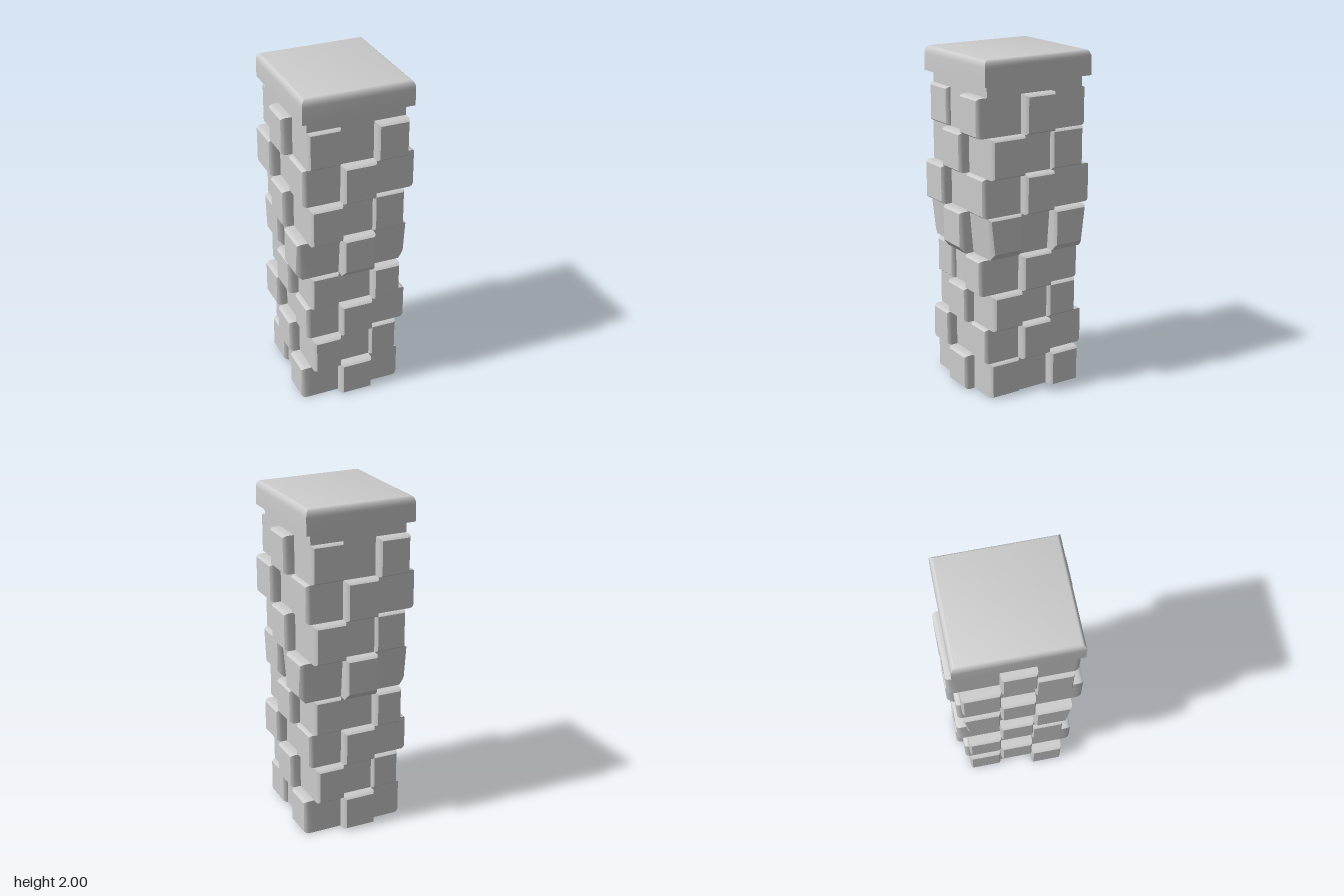
import * as THREE from 'three';
import { toCreasedNormals } from 'three/addons/utils/BufferGeometryUtils.js';

// The masonry is an open shell, so its inside shows from below.
const material = new THREE.MeshStandardMaterial({ color: 0xcccccc, side: THREE.DoubleSide });

// Join four-cornered rings (counter-clockwise seen from the last ring's side).
function loft(rings, capStart, capEnd) {
  const pos = [];
  const quad = (a, b, c, d) => [a, b, c, a, c, d].forEach((p) => pos.push(...p));
  for (let r = 0; r < rings.length - 1; r++) {
    for (let i = 0; i < 4; i++) {
      const j = (i + 1) % 4;
      quad(rings[r][i], rings[r][j], rings[r + 1][j], rings[r + 1][i]);
    }
  }
  const first = rings[0], last = rings[rings.length - 1];
  if (capStart) quad(first[3], first[2], first[1], first[0]);
  if (capEnd) quad(...last);
  const geometry = new THREE.BufferGeometry();
  geometry.setAttribute('position', new THREE.Float32BufferAttribute(pos, 3));
  geometry.computeVertexNormals();
  return toCreasedNormals(geometry, 0.6);
}

// Horizontal rectangle with half-sizes x and z at height y.
const level = (x, z, y) => [[-x, y, z], [x, y, z], [x, y, -z], [-x, y, -z]];

// Upright four-cornered outline; lower and upper edges are [u0, u1, v, z].
const outline = ([a0, a1, av, az], [b0, b1, bv, bz]) =>
  [[a0, av, az], [a1, av, az], [b1, bv, bz], [b0, bv, bz]];

// Brick with rounded edges, its open back on the wall; flare chamfers its underside.
function brickGeometry(lower, upper, front, flare) {
  const rings = [outline(lower, upper)];
  for (const [inset, depth] of [[0, 0.025], [0.004, 0.01], [0.012, 0]]) {
    const rise = flare ? 0.04 * (1 - depth / 0.025) : inset;
    rings.push(outline(
      [lower[0] + inset, lower[1] - inset, lower[2] + rise, front - depth * (flare ? 1.4 : 1)],
      [upper[0] + inset, upper[1] - inset, upper[2] - inset, front - depth],
    ));
  }
  return loft(rings, false, true);
}

function add(parent, name, geometry) {
  const mesh = new THREE.Mesh(geometry, material);
  mesh.name = name;
  parent.add(mesh);
}

export function createModel() {
  const model = new THREE.Group();
  model.name = 'brickPillar';

  // Half-sizes of the narrow lower and wide upper shaft, and how far bricks stand out
  const low = { x: 0.27, z: 0.295, out: 0.062 };
  const high = { x: 0.292, z: 0.318, out: 0.064 };
  const shallowOut = 0.026;

  // Neck below the cap
  add(model, 'neck', loft([level(high.x, high.z, 1.79), level(high.x, high.z, 1.856)], false, false));

  // Cap slab with a rounded upper edge
  const capRings = [level(0.33, 0.353, 1.855)];
  for (let i = 0; i <= 5; i++) {
    const a = (i / 5) * Math.PI / 2;
    const inset = 0.025 * (1 - Math.cos(a));
    capRings.push(level(0.33 - inset, 0.353 - inset, 1.955 + 0.045 * Math.sin(a)));
  }
  add(model, 'cap', loft(capRings, true, true));

  // Four walls of three by eight cells: raised bricks alternate with flush ones
  const rows = [0, 0.215, 0.43, 0.64, 0.855, 1.105, 1.335, 1.565, 1.79];
  // Column whose raised brick is shallow, repeating every four rows
  const shallowColumn = [0, 2, 2, 0];
  ['front', 'left', 'back', 'right'].forEach((side, s) => {
    const wall = new THREE.Group();
    wall.name = side + 'Wall';
    wall.rotation.y = s * Math.PI / 2;
    model.add(wall);
    const across = s % 2 ? 'z' : 'x';
    const outward = s % 2 ? 'x' : 'z';
    const columns = (size) => [-size[across], -0.097, 0.102, size[across]];
    for (let r = 0; r < 8; r++) {
      const bottom = r < 5 ? low : high;
      const top = r < 4 ? low : high;
      const b = columns(bottom), t = columns(top);
      for (let c = 0; c < 3; c++) {
        const lower = [b[c], b[c + 1], rows[r], bottom[outward]];
        const upper = [t[c], t[c + 1], rows[r + 1], top[outward]];
        if ((r + s + c) % 2) {
          const out = c === shallowColumn[r % 4] ? shallowOut : top.out;
          add(wall, 'raisedBrick', brickGeometry(lower, upper, top[outward] + out, r === 4));
        } else {
          add(wall, 'flushBrick', loft([outline(lower, upper)], false, true));
        }
      }
    }
  });

  return model;
}
